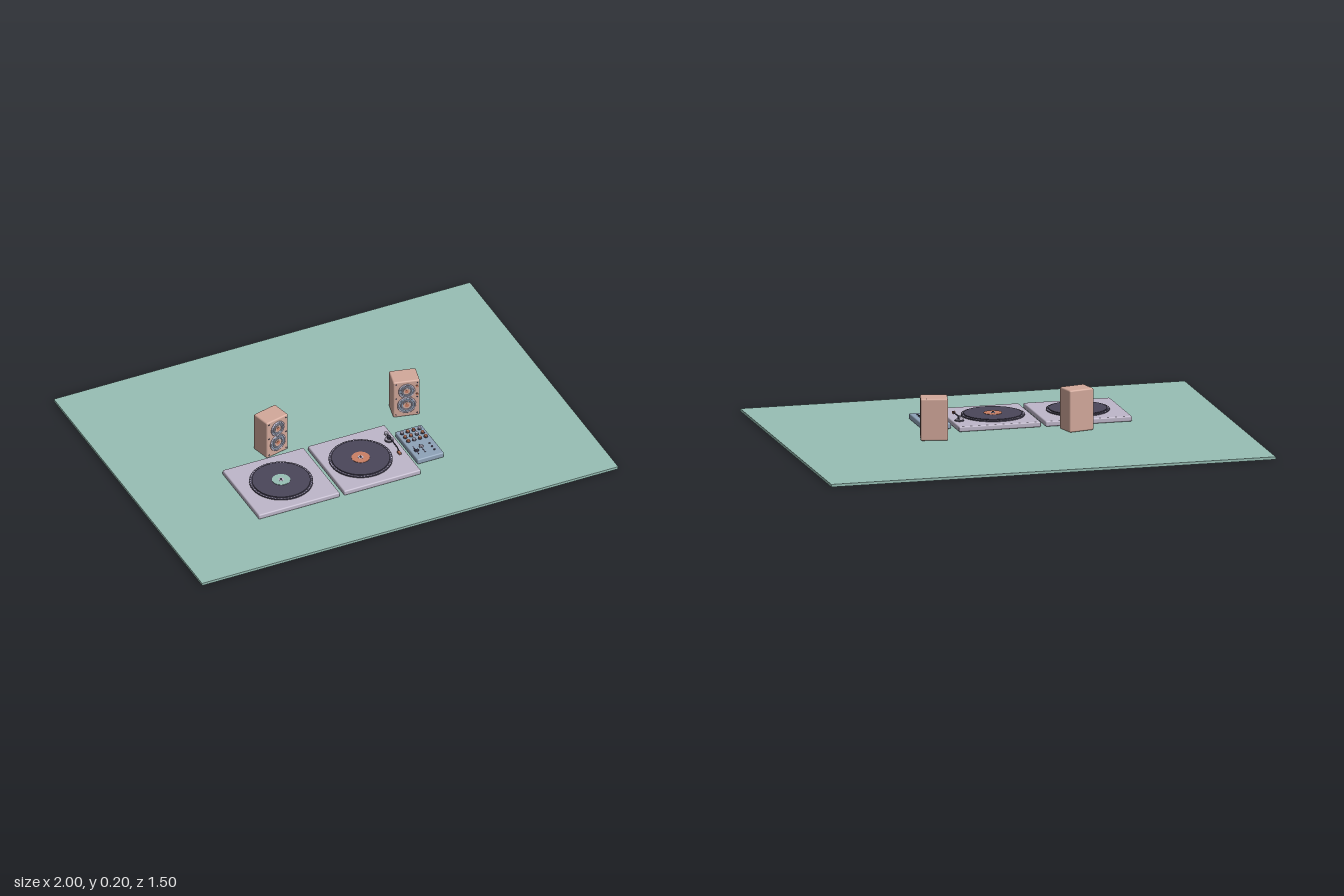
import * as THREE from 'three';
import { RoundedBoxGeometry } from 'three/addons/geometries/RoundedBoxGeometry.js';

const mat = (name, color) => Object.assign(new THREE.MeshStandardMaterial({ color }), { name });

export function createModel() {
  const model = new THREE.Group();
  model.name = 'djSet';
  const green = mat('sageGreen', 0x98bfb5);
  const lavender = mat('lavender', 0xbfb7ca);
  const dark = mat('darkPlum', 0x4b465a);
  const orange = mat('terracotta', 0xcb8065);
  const blue = mat('slateBlue', 0x8fa3b9);
  const pink = mat('dustyPink', 0xd3a99b);

  const group = (name, parent, x = 0, y = 0, z = 0) => {
    const g = new THREE.Group();
    g.name = name;
    g.position.set(x, y, z);
    parent.add(g);
    return g;
  };
  const add = (parent, name, geo, material, x, y, z) => {
    const m = new THREE.Mesh(geo, material);
    m.name = name;
    m.position.set(x, y, z);
    parent.add(m);
    return m;
  };
  const box = (p, name, w, h, d, material, x, y, z) =>
    add(p, name, new THREE.BoxGeometry(w, h, d), material, x, y, z);
  const rounded = (p, name, w, h, d, r, material, x, y, z) =>
    add(p, name, new RoundedBoxGeometry(w, h, d, 3, r), material, x, y, z);
  // Upright cylinder given by its bottom and top heights
  const disc = (p, name, r, y0, y1, material, x = 0, z = 0, sides = 48) =>
    add(p, name, new THREE.CylinderGeometry(r, r, y1 - y0, sides), material, x, (y0 + y1) / 2, z);
  // Cylinder facing +z
  const faceDisc = (p, name, r, h, material, x, y, z, sides = 32) => {
    const m = add(p, name, new THREE.CylinderGeometry(r, r, h, sides), material, x, y, z);
    m.rotation.x = Math.PI / 2;
    return m;
  };

  // Floor mat
  const floor = 0.012;
  box(model, 'floorMat', 2, floor, 1.5, green, 0, floor / 2, 0);

  // Turntables: x is the platter centre, shift moves the plinth off it
  const turntable = (name, x, width, shift, label) => {
    const t = group(name, model, x, floor, 0.249);
    rounded(t, 'plinth', width, 0.024, 0.37, 0.006, lavender, shift, 0.012, 0);
    disc(t, 'platter', 0.139, 0.022, 0.029, dark);
    for (let i = 0; i < 60; i++) {
      const a = (i / 60) * Math.PI * 2;
      disc(t, 'strobeDot', 0.0026, 0.028, 0.0298, lavender, Math.cos(a) * 0.134, Math.sin(a) * 0.134, 8);
    }
    disc(t, 'record', 0.127, 0.028, 0.033, dark, 0, 0, 64);
    disc(t, 'label', 0.04, 0.032, 0.0345, label);
    disc(t, 'labelRing', 0.012, 0.034, 0.0352, lavender, 0, 0, 24);
    disc(t, 'spindle', 0.004, 0.034, 0.039, dark, 0, 0, 12);
    return t;
  };
  turntable('plainTurntable', -0.382, 0.39, 0, green);
  const armed = turntable('armedTurntable', 0, 0.369, 0.018, orange);

  // Tonearm with pivot, counterweight and cartridge
  const arm = group('tonearm', armed, 0.171, 0, -0.073);
  disc(arm, 'armBase', 0.02, 0.023, 0.028, dark, 0, 0, 24);
  disc(arm, 'armRing', 0.016, 0.028, 0.031, lavender, 0, 0, 24);
  disc(arm, 'armPivot', 0.008, 0.03, 0.045, dark, 0, 0, 16);
  const path = new THREE.CatmullRomCurve3([
    new THREE.Vector3(0, 0.041, -0.03), new THREE.Vector3(0, 0.041, 0.03),
    new THREE.Vector3(0, 0.04, 0.085), new THREE.Vector3(-0.005, 0.038, 0.112),
  ]);
  add(arm, 'armTube', new THREE.TubeGeometry(path, 20, 0.003, 8), dark, 0, 0, 0);
  faceDisc(arm, 'counterweight', 0.009, 0.016, lavender, 0, 0.041, -0.026, 16);
  box(arm, 'cartridge', 0.011, 0.009, 0.022, orange, -0.006, 0.035, 0.115);

  // Mixer with knobs and faders
  const mixer = group('mixer', model, 0.283, floor, 0.249);
  rounded(mixer, 'mixerBody', 0.128, 0.026, 0.23, 0.006, blue, 0, 0.013, 0);
  for (let row = 0; row < 3; row++) {
    for (let col = 0; col < 4; col++) {
      const x = -0.042 + col * 0.028, z = -0.089 + row * 0.032;
      disc(mixer, 'knobBase', 0.0095, 0.025, 0.0285, dark, x, z, 16);
      disc(mixer, 'knob', 0.007, 0.028, 0.035, (row + col) % 3 ? orange : lavender, x, z, 16);
    }
  }
  [-0.04, -0.008].forEach((x, i) => {
    box(mixer, 'faderSlot', 0.004, 0.002, 0.062, dark, x, 0.0262, 0.046);
    box(mixer, 'faderCap', 0.018, 0.008, 0.009, i ? lavender : dark, x, 0.03, i ? 0.034 : 0.054);
  });
  for (let i = 0; i < 3; i++)
    disc(mixer, 'padButton', 0.005, 0.025, 0.029, dark, 0.036, 0.025 + i * 0.025, 12);

  // Speakers turned in towards the middle
  const speaker = (name, x, z, turn) => {
    const s = group(name, model, x, floor, z);
    s.rotation.y = turn;
    rounded(s, 'cabinet', 0.119, 0.187, 0.093, 0.007, pink, 0, 0.0935, 0);
    [[0.136, 0.037], [0.062, 0.042]].forEach(([y, r]) => {
      const d = group('driver', s, 0, y, 0.0465);
      add(d, 'driverRing', new THREE.TorusGeometry(r - 0.004, 0.004, 8, 40), lavender, 0, 0, 0.001);
      faceDisc(d, 'driverCone', r - 0.004, 0.002, blue, 0, 0, 0.001);
      add(d, 'innerRing', new THREE.TorusGeometry(r * 0.58, 0.003, 8, 32), lavender, 0, 0, 0.002);
      faceDisc(d, 'dustRing', r * 0.42, 0.004, pink, 0, 0, 0.002);
      faceDisc(d, 'dustCap', r * 0.22, 0.006, orange, 0, 0, 0.002, 20);
    });
    for (const sx of [-1, 1]) for (const y of [0.014, 0.099, 0.174])
      faceDisc(s, 'screw', 0.003, 0.003, dark, sx * 0.047, y, 0.0465, 10);
    return s;
  };
  speaker('rightSpeaker', -0.305, -0.016, 0.23);
  const powered = speaker('leftSpeaker', 0.34, -0.024, -0.23);
  for (let i = 0; i < 2; i++)
    faceDisc(powered, 'volumeKnob', 0.005, 0.008, orange, 0.046, 0.115 + i * 0.042, 0.0475, 12);

  return model;
}
